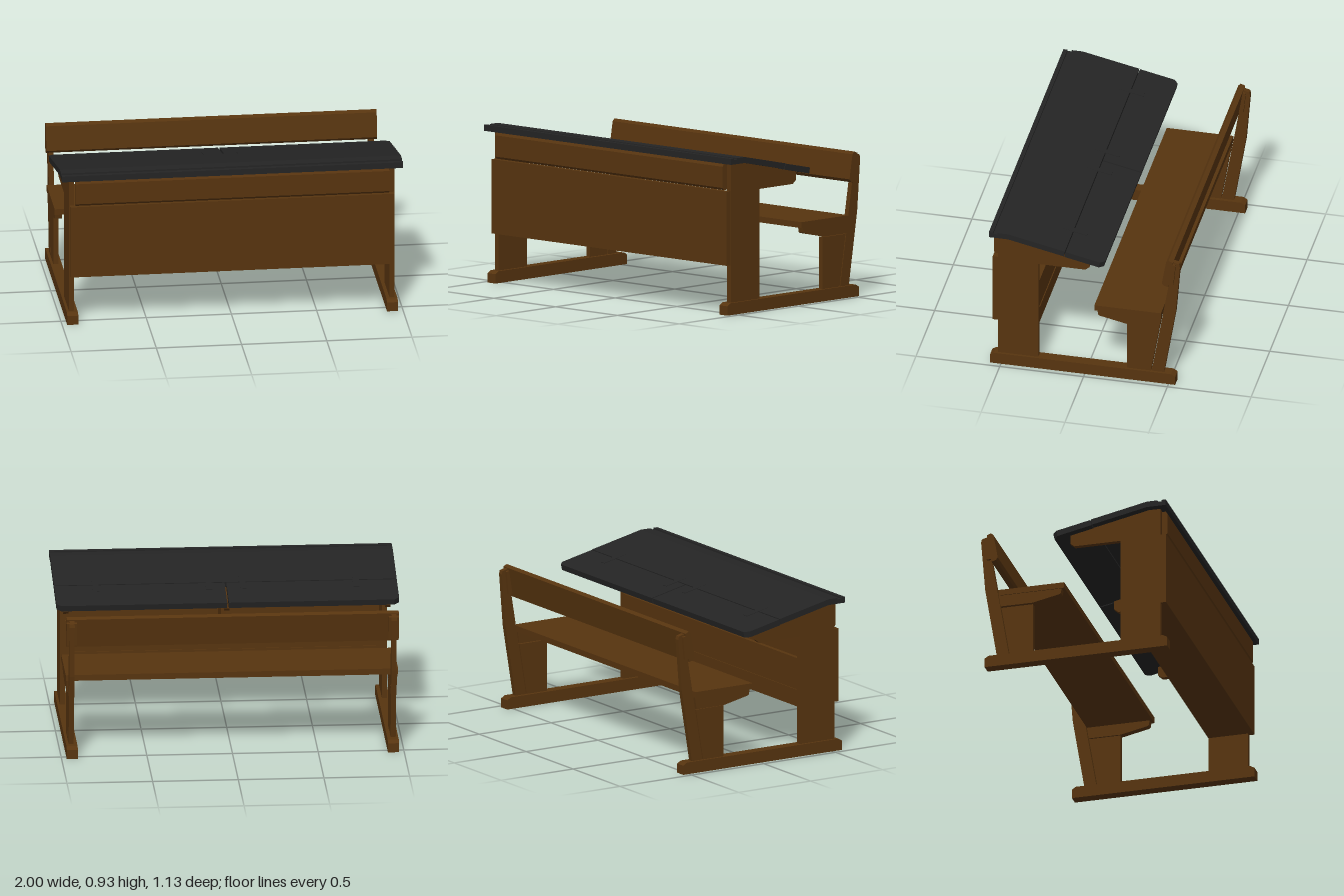
import * as THREE from 'three';

export function createModel() {
  const model = new THREE.Group();
  model.name = 'schoolBenchDesk';
  const wood = new THREE.MeshStandardMaterial({ color: 0x57340f });
  const black = new THREE.MeshStandardMaterial({ color: 0x242424 });

  const add = (name, geometry, material = wood) => {
    const mesh = new THREE.Mesh(geometry, material);
    mesh.name = name;
    model.add(mesh);
    return mesh;
  };
  const shapeOf = (pts) => new THREE.Shape(pts.map(([a, b]) => new THREE.Vector2(a, b)));

  // Side profile given as [z, y] points, running from x0 to x1
  const profile = (name, pts, x0, x1, material) => {
    const g = new THREE.ExtrudeGeometry(shapeOf(pts), { depth: x1 - x0, bevelEnabled: false });
    g.rotateY(-Math.PI / 2).translate(x1, 0, 0);
    return add(name, g, material);
  };
  const box = (name, x0, x1, y0, y1, z0, z1) => {
    const g = new THREE.BoxGeometry(x1 - x0, y1 - y0, z1 - z0);
    return add(name, g.translate((x0 + x1) / 2, (y0 + y1) / 2, (z0 + z1) / 2));
  };
  // The same profile on both sides
  const pair = (name, pts, x0, x1) => {
    profile(name + 'Left', pts, x0, x1);
    profile(name + 'Right', pts, -x1, -x0);
  };

  // Side frames
  pair('footRunner', [[0.565, 0], [0.565, 0.055], [0.54, 0.07], [-0.515, 0.07], [-0.54, 0.055], [-0.54, 0]], 0.905, 0.97);
  pair('deskPost', [[0.28, 0.07], [0.52, 0.07], [0.52, 0.89], [0.45, 0.89], [0.28, 0.854]], 0.925, 0.955);
  const arm = [[0.28, 0.715], [0.28, 0.854], [-0.025, 0.789], [-0.025, 0.735], [0, 0.715]];
  pair('deskArm', arm, 0.925, 0.955);
  pair('seatPost', [[-0.25, 0.07], [-0.25, 0.375], [-0.442, 0.375], [-0.392, 0.07]], 0.925, 0.955);
  pair('seatBracket', [[-0.075, 0.45], [-0.08, 0.42], [-0.09, 0.414], [-0.25, 0.38], [-0.444, 0.38], [-0.455, 0.45]], 0.925, 0.965);
  pair('backLeg', [[-0.397, 0.07], [-0.47, 0.07], [-0.54, 0.5], [-0.565, 0.81], [-0.56, 0.83], [-0.525, 0.84], [-0.497, 0.67]], 0.925, 0.955);
  pair('backLegCap', [[-0.499, 0.69], [-0.522, 0.83], [-0.541, 0.825], [-0.528, 0.69]], 0.91, 0.97);

  // Seat and backrest
  box('seat', -0.97, 0.97, 0.45, 0.485, -0.455, -0.058);
  profile('backrest', [[-0.46, 0.695], [-0.472, 0.68], [-0.498, 0.672], [-0.526, 0.845], [-0.5, 0.855], [-0.485, 0.84]], -0.97, 0.97);

  // Front boards
  profile('lowerFrontBoard', [[0.52, 0.29], [0.553, 0.29], [0.553, 0.727], [0.52, 0.727]], -0.95, 0.95);
  profile('upperFrontBoard', [[0.515, 0.732], [0.543, 0.732], [0.553, 0.745], [0.553, 0.87], [0.543, 0.885], [0.515, 0.885]], -0.92, 0.92);

  // Book box under the desk top, with a middle divider and arm
  box('bookBoxFloor', -0.925, 0.925, 0.29, 0.32, 0.28, 0.52);
  [[0.29, 0.39, 0.28], [0.39, 0.53, 0.285], [0.53, 0.58, 0.28]].forEach(([y0, y1, z], i) =>
    box('bookBoxBackBoard' + (i + 1), -0.925, 0.925, y0, y1, z, 0.305));
  profile('middleDivider', [[0.29, 0.32], [0.52, 0.32], [0.52, 0.89], [0.45, 0.89], [0.28, 0.854]], -0.015, 0.015);
  profile('middleArm', arm, -0.015, 0.015);

  // Fixed part of the desk top with its pencil groove
  profile('deskTop', [[0.118, 0.819], [0.45, 0.89], [0.565, 0.89], [0.565, 0.925], [0.54, 0.925], [0.54, 0.916],
    [0.514, 0.916], [0.514, 0.925], [0.45, 0.925], [0.112, 0.853]], -1, 1, black);

  // Two hinged leaves, each with one cut corner
  const slope = 0.21;
  for (const s of [1, -1]) {
    const leaf = shapeOf([[0.005, 0], [1, 0], [1, 0.21], [0.972, 0.236], [0.005, 0.236]].map(([x, u]) => [s * x, u]));
    const g = new THREE.ExtrudeGeometry(leaf, { depth: 0.035, bevelEnabled: false });
    g.rotateX(-Math.PI / 2 - slope).translate(0, 0.816, 0.115);
    add(s > 0 ? 'leafLeft' : 'leafRight', g, black);

    // Hinge plates let into the top
    for (const x of [0.1, 0.76]) {
      const plate = add('hingePlate', new THREE.BoxGeometry(0.036, 0.006, 0.15), black);
      plate.position.set(s * x, 0.849, 0.103);
      plate.rotation.x = -slope;
    }
  }
  return model;
}
